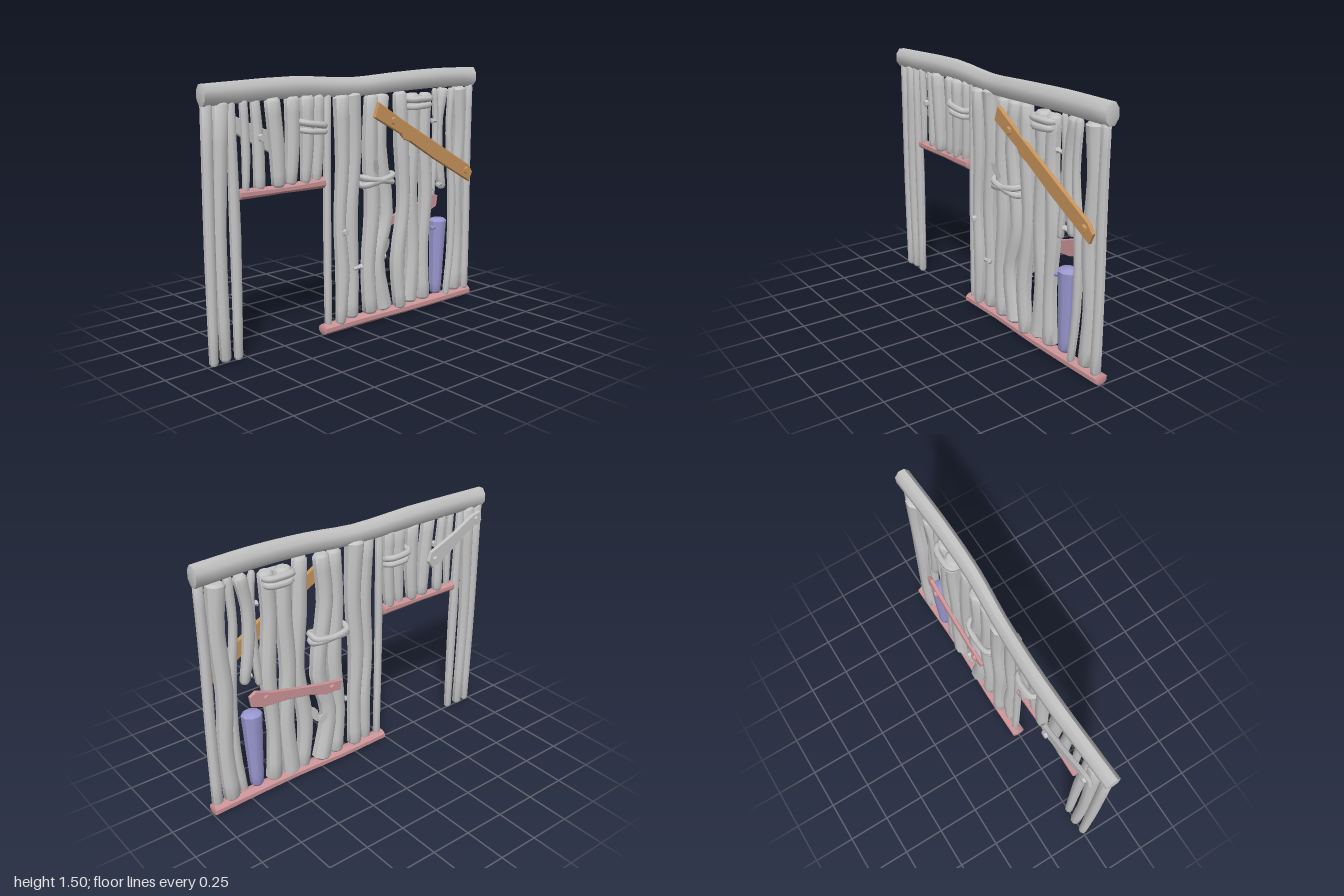
import * as THREE from 'three';
import { toCreasedNormals } from 'three/addons/utils/BufferGeometryUtils.js';

const paint = (name, color) => {
  const m = new THREE.MeshStandardMaterial({ color });
  m.name = name;
  return m;
};

export function createModel() {
  const root = new THREE.Group();
  root.name = 'palisadeWall';
  const grey = paint('paleWood', 0xc6c6c6), pink = paint('pinkWood', 0xcc9498);
  const tan = paint('tanWood', 0xc8945c), blue = paint('blueWood', 0x9a98d0);
  const leafGrey = paint('leafGrey', 0xc6c6c6);
  leafGrey.side = THREE.DoubleSide;

  const add = (name, geo, mat, crease = 0.75) => {
    const mesh = new THREE.Mesh(toCreasedNormals(geo, crease), mat);
    mesh.name = name;
    root.add(mesh);
    return mesh;
  };

  // Rough log swept through stations [x, y, z, radius], with bevelled ends
  function log(name, stations, mat = grey, { sides = 8, depth = 1, bevel = 0.015 } = {}) {
    const path = new THREE.CatmullRomCurve3(stations.map(s => new THREE.Vector3(s[0], s[1], s[2])));
    const n = (stations.length - 1) * 3, rings = [];
    for (let i = 0; i <= n; i++) {
      const t = i / n, k = Math.min(Math.floor(t * (stations.length - 1)), stations.length - 2);
      const f = t * (stations.length - 1) - k;
      const r = THREE.MathUtils.lerp(stations[k][3], stations[k + 1][3], f);
      rings.push({ p: path.getPoint(t), d: path.getTangent(t), r });
    }
    const first = rings[0], last = rings[n];
    rings.unshift({ p: first.p.clone(), d: first.d, r: first.r * 0.7 });
    rings.push({ p: last.p.clone(), d: last.d, r: last.r * 0.7 });
    first.p.addScaledVector(first.d, bevel);
    last.p.addScaledVector(last.d, -bevel);
    const pos = [], idx = [];
    for (const { p, d, r } of rings) {
      const l = Math.hypot(d.x, d.y);
      for (let j = 0; j < sides; j++) {
        const a = (j + 0.5) / sides * Math.PI * 2, u = Math.cos(a) * r;
        pos.push(p.x - d.y / l * u, p.y + d.x / l * u, p.z + Math.sin(a) * r * depth);
      }
    }
    const end = rings.length - 1, c = rings.length * sides;
    pos.push(...rings[0].p.toArray(), ...rings[end].p.toArray());
    for (let j = 0; j < sides; j++) {
      const k = (j + 1) % sides;
      for (let i = 0; i < end; i++) {
        const a = i * sides;
        idx.push(a + j, a + k, a + sides + k, a + j, a + sides + k, a + sides + j);
      }
      idx.push(c, k, j, c + 1, end * sides + j, end * sides + k);
    }
    const g = new THREE.BufferGeometry();
    g.setAttribute('position', new THREE.Float32BufferAttribute(pos, 3));
    g.setIndex(idx);
    return add(name, g, mat);
  }
  // Upright log: stations [x, y, radius] at a depth z
  const pole = (name, z, stations, mat) =>
    log(name, stations.map(([x, y, r]) => [x, y, z, r]), mat, { depth: 0.9 });

  // Flat plank cut from an outline
  const plank = (name, outline, z, thick, mat) => {
    const shape = new THREE.Shape(outline.map(p => new THREE.Vector2(...p)));
    const g = new THREE.ExtrudeGeometry(shape, { depth: thick - 0.008, bevelThickness: 0.004, bevelSize: 0.004, bevelSegments: 1 });
    return add(name, g.translate(0, 0, z + 0.004), mat, 0.4);
  };
  // Six-sided peg head
  const peg = (name, x, y, z, mat, r = 0.022) =>
    add(name, new THREE.CylinderGeometry(r, r, 0.024, 6).rotateX(Math.PI / 2).translate(x, y, z), mat, 0.4);

  // Head beam and sills
  log('headBeam', [[-1, 1.425, 0.012, 0.06], [-0.4, 1.437, -0.015, 0.062], [0, 1.42, 0, 0.058],
    [0.3, 1.435, 0.02, 0.06], [0.65, 1.445, 0.015, 0.062], [1, 1.44, -0.003, 0.063]], grey, { sides: 8, depth: 0.72, bevel: 0.005 });
  log('doorLintel', [[-0.785, 0.9, 0, 0.03], [-0.5, 0.895, 0, 0.024], [-0.215, 0.9, 0, 0.034]], pink, { bevel: 0.005 });
  log('groundSill', [[-0.23, 0.032, 0, 0.032], [0.1, 0.032, -0.005, 0.032], [0.45, 0.032, 0.005, 0.032], [1, 0.032, -0.005, 0.034]],
    pink, { depth: 1.25, bevel: 0.005 });

  // Door posts
  pole('doorPost', 0.005, [[-0.964, 0.005, 0.026], [-0.967, 0.6, 0.031], [-0.963, 1.39, 0.032]]);
  pole('doorPost', 0, [[-0.888, 0.01, 0.032], [-0.902, 0.7, 0.037], [-0.876, 1.39, 0.045]]);
  pole('doorPost', 0.005, [[-0.81, 0.005, 0.026], [-0.81, 0.7, 0.032], [-0.822, 1.39, 0.026]]);

  // Short stakes above the doorway
  const stakes = [[-0.74, -0.745, 0.02, 0.024], [-0.645, -0.665, 0.034, 0.028], [-0.53, -0.565, 0.04, 0.045],
    [-0.44, -0.425, 0.036, 0.045], [-0.35, -0.335, 0.03, 0.045], [-0.265, -0.25, 0.033, 0.038]];
  stakes.forEach(([bottom, top, rb, rt], i) =>
    pole('lintelStake', i % 2 ? -0.005 : 0.008, [[bottom, 0.91, rb], [(bottom + top) / 2 + 0.008, 1.13, (rb + rt) / 2 + 0.003], [top, 1.39, rt]]));

  // Main wall logs
  pole('wallLog', 0, [[-0.185, 0.05, 0.024], [-0.19, 0.7, 0.025], [-0.185, 1.39, 0.024]]);
  pole('wallLog', 0.015, [[-0.105, 0.045, 0.034], [-0.09, 0.35, 0.046], [-0.11, 0.65, 0.038], [-0.09, 1, 0.044], [-0.1, 1.38, 0.05]]);
  pole('wallLog', -0.005, [[-0.005, 0.06, 0.046], [0, 0.35, 0.043], [-0.015, 0.7, 0.05], [0.01, 1.05, 0.05], [-0.005, 1.39, 0.058]]);
  pole('wallLog', 0.005, [[0.135, 0.06, 0.05], [0.115, 0.35, 0.047], [0.145, 0.7, 0.052], [0.125, 1.05, 0.05], [0.135, 1.37, 0.045]]);
  pole('wallLog', -0.005, [[0.25, 0.06, 0.06], [0.195, 0.38, 0.052], [0.265, 0.65, 0.05], [0.205, 1.08, 0.05], [0.228, 1.37, 0.048]]);
  pole('wallLog', 0.015, [[0.37, 0.045, 0.044], [0.345, 0.35, 0.05], [0.39, 0.7, 0.045], [0.37, 1.05, 0.052], [0.35, 1.38, 0.044]]);
  pole('wallLog', -0.005, [[0.465, 0.06, 0.056], [0.49, 0.4, 0.05], [0.465, 0.75, 0.05], [0.48, 1.1, 0.05], [0.47, 1.36, 0.05]]);
  pole('wallLog', 0.005, [[0.58, 0.06, 0.05], [0.57, 0.4, 0.042], [0.59, 0.75, 0.05], [0.565, 1.1, 0.046], [0.575, 1.36, 0.045]]);
  pole('brokenLogStub', 0, [[0.7, 0.07, 0.04], [0.705, 0.3, 0.05], [0.71, 0.56, 0.062]], blue);
  pole('hangingLog', 0.005, [[0.645, 0.71, 0.022], [0.665, 0.95, 0.024], [0.67, 1.2, 0.022], [0.655, 1.38, 0.02]]);
  pole('hangingLog', 0, [[0.74, 0.75, 0.03], [0.7, 1, 0.036], [0.7, 1.2, 0.034], [0.735, 1.38, 0.04]]);
  pole('wallLog', 0.02, [[0.775, 0.045, 0.024], [0.81, 0.35, 0.027], [0.81, 0.75, 0.03], [0.775, 1.1, 0.024], [0.79, 1.38, 0.026]]);
  pole('wallLog', -0.005, [[0.87, 0.06, 0.05], [0.89, 0.4, 0.045], [0.87, 0.75, 0.05], [0.89, 1.1, 0.047], [0.875, 1.38, 0.055]]);
  pole('wallLog', 0.005, [[0.96, 0.05, 0.033], [0.965, 0.5, 0.03], [0.96, 1, 0.03], [0.965, 1.39, 0.028]]);

  // Diagonal brace on the front
  plank('frontBrace', [[0.12, 1.245], [0.15, 1.325], [0.34, 1.21], [0.6, 1.065], [0.92, 0.885], [0.955, 0.84],
    [0.93, 0.785], [0.84, 0.835], [0.61, 0.96], [0.41, 1.08], [0.35, 1.1], [0.33, 1.135]], 0.038, 0.024, tan);
  peg('bracePeg', 0.26, 1.215, 0.068, tan);
  peg('bracePeg', 0.897, 0.855, 0.068, tan);

  // Planks nailed across the back
  plank('backPlank', [[0.14, 0.52], [0.13, 0.575], [0.24, 0.59], [0.45, 0.635], [0.6, 0.67], [0.71, 0.71], [0.745, 0.69],
    [0.735, 0.63], [0.67, 0.605], [0.5, 0.59], [0.36, 0.565], [0.25, 0.525]], -0.06, 0.022, pink);
  peg('backPeg', 0.2, 0.552, -0.063, pink);
  peg('backPeg', 0.645, 0.65, -0.063, pink);
  plank('backLintelPlank', [[-0.93, 1.31], [-0.915, 1.365], [-0.86, 1.355], [-0.7, 1.27], [-0.53, 1.2], [-0.51, 1.15],
    [-0.55, 1.1], [-0.7, 1.18], [-0.85, 1.28]], -0.072, 0.022, grey);
  peg('backPeg', -0.885, 1.325, -0.076, grey);
  peg('backPeg', -0.56, 1.15, -0.076, grey);

  // Ropes: loops round neighbouring logs, each with its own tilt
  const rope = (x0, x1, y, tilt, r = 0.018) => {
    const cx = (x0 + x1) / 2, hw = (x1 - x0) / 2 - r, pts = [];
    for (let i = 0; i < 12; i++) {
      const a = i / 12 * Math.PI * 2, c = Math.cos(a), s = Math.sin(a);
      pts.push(new THREE.Vector3(cx + hw * Math.sign(c) * Math.abs(c) ** 0.7,
        y + tilt * c * (s >= -0.01 ? 1 : 0.5), 0.053 * Math.sign(s) * Math.abs(s) ** 0.6));
    }
    add('ropeLoop', new THREE.TubeGeometry(new THREE.CatmullRomCurve3(pts, true), 36, r, 6, true), grey, 1.2);
  };
  rope(-0.405, -0.205, 1.235, -0.015, 0.019);
  rope(-0.39, -0.205, 1.195, -0.008, 0.017);
  rope(0.405, 0.615, 1.325, 0, 0.02);
  rope(0.415, 0.61, 1.285, 0.005, 0.019);
  rope(0.045, 0.315, 0.87, 0.024, 0.019);
  rope(0.045, 0.31, 0.87, -0.024, 0.019);

  // Leaves
  const leaf = (x, y, z, size, turn) => {
    const s = new THREE.Shape();
    s.moveTo(0, -size);
    s.quadraticCurveTo(size * 0.9, 0, 0, size);
    s.quadraticCurveTo(-size * 0.9, 0, 0, -size);
    const m = add('leaf', new THREE.ShapeGeometry(s, 5), leafGrey);
    m.position.set(x, y, z);
    m.rotation.set(0.15, 0.2, turn);
  };
  leaf(0.13, 0.955, 0.058, 0.055, 0.5);
  leaf(0.325, 0.42, -0.06, 0.06, -0.35);
  leaf(0.27, 0.365, -0.06, 0.055, 1.2);

  // Knots and twig stubs
  peg('knot', -0.1, 0.6, 0.058, grey, 0.02);
  peg('knot', -0.655, 1.19, 0.04, grey, 0.02);
  const twig = (x, y, dx, z, mat = grey) => {
    log('twigStub', [[x, y, z, 0.011], [x + dx * 0.6, y + 0.004, z, 0.012], [x + dx, y + 0.004, z, 0.019]], mat, { sides: 6, bevel: 0.004 });
  };
  twig(-0.02, 0.365, 0.06, 0.035);
  twig(0.24, 0.37, 0.06, -0.045);
  twig(0.66, 1.18, -0.04, 0.02);
  twig(0.73, 0.775, -0.045, 0.015);
  twig(0.69, 0.505, -0.055, 0.02, blue);
  return root;
}
